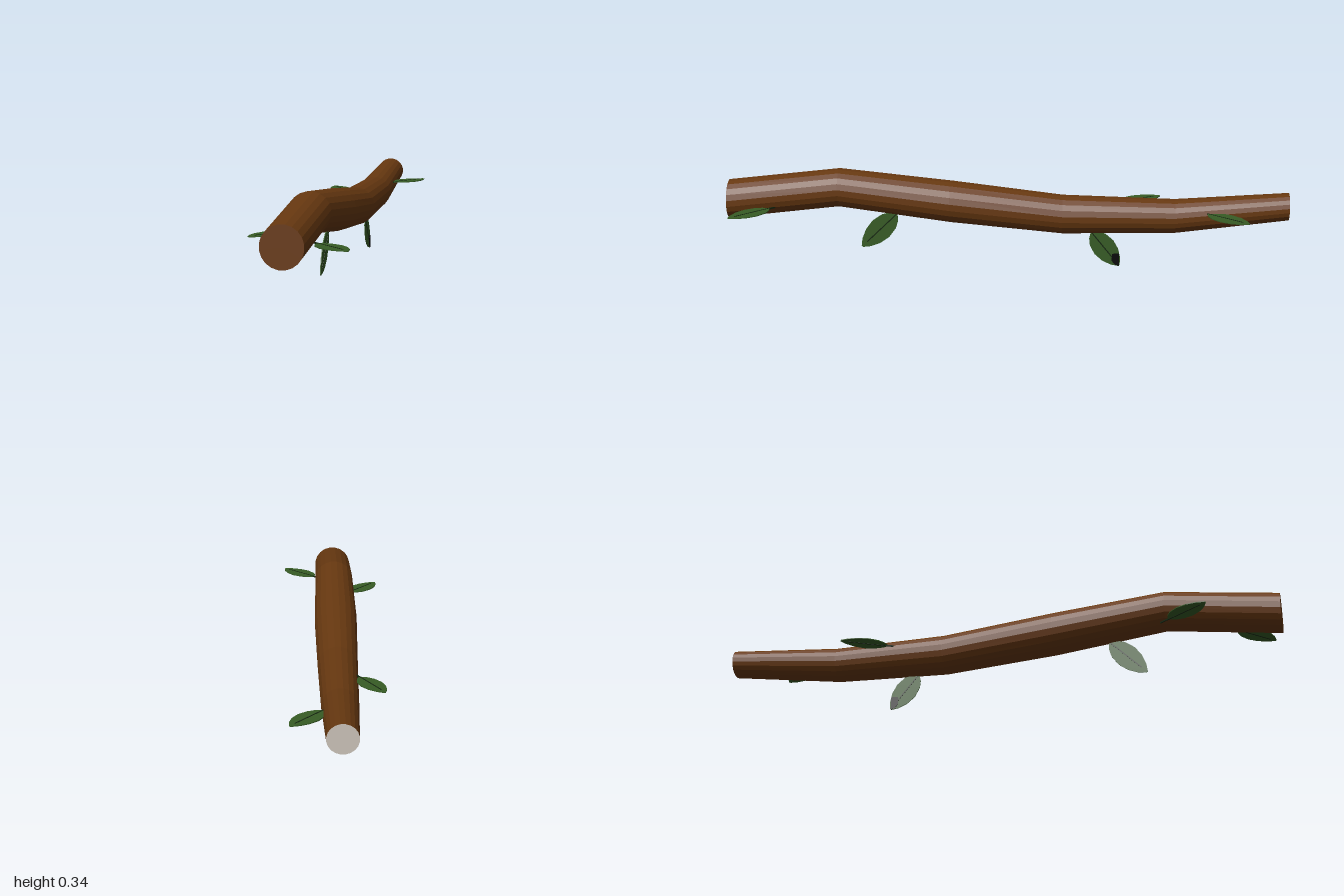
import * as THREE from 'three';

const mat = (name, color) => {
  const m = new THREE.MeshStandardMaterial({ color });
  m.name = name;
  return m;
};

// Half outline of a leaf: [fraction of length, fraction of half width]
const OUTLINE = [[0, 0.12], [0.08, 0.5], [0.22, 0.83], [0.45, 1], [0.68, 0.85], [0.87, 0.5], [1, 0.08]];

function plate(points, thickness) {
  const shape = new THREE.Shape(points.map(([x, y]) => new THREE.Vector2(x, y)));
  const geo = new THREE.ExtrudeGeometry(shape, { depth: thickness, bevelEnabled: false });
  return geo.translate(0, 0, -thickness / 2);
}

export function createModel() {
  const bark = mat('bark brown', 0x673810);
  const cutWood = mat('pale cut wood', 0xccc4ba);
  const green = mat('leaf green', 0x375c25);
  const veinGreen = mat('dark vein green', 0x14260f);
  const black = mat('withered black', 0x050705);
  bark.flatShading = true;

  const model = new THREE.Group();
  model.name = 'leafyBranch';
  const add = (parent, name, geo, material) => {
    const mesh = new THREE.Mesh(geo, material);
    mesh.name = name;
    parent.add(mesh);
    return mesh;
  };

  // Branch: rings along z as [z, centre y, x radius, y radius]
  const rings = [
    [-1, 0.232, 0.051, 0.049], [-0.6, 0.19, 0.062, 0.061], [-0.2, 0.19, 0.07, 0.07],
    [0.2, 0.231, 0.078, 0.075], [0.6, 0.277, 0.072, 0.069], [1, 0.228, 0.07, 0.07],
  ];
  const SIDES = 20, CENTRE_X = -0.015;
  const ringPoint = ([z, y, rx, ry], i) => {
    const a = ((i + 0.5) / SIDES) * Math.PI * 2;
    return [CENTRE_X + Math.cos(a) * rx, y + Math.sin(a) * ry, z];
  };
  const fromTriangles = (pos) => {
    const geo = new THREE.BufferGeometry();
    geo.setAttribute('position', new THREE.Float32BufferAttribute(pos, 3));
    geo.computeVertexNormals();
    return geo;
  };
  const side = [], front = [], back = [];
  const first = rings[0], last = rings[rings.length - 1];
  for (let i = 0; i < SIDES; i++) {
    for (let r = 0; r < rings.length - 1; r++) {
      const a = ringPoint(rings[r], i), b = ringPoint(rings[r], i + 1);
      const c = ringPoint(rings[r + 1], i + 1), d = ringPoint(rings[r + 1], i);
      side.push(...a, ...b, ...c, ...a, ...c, ...d);
    }
    front.push(CENTRE_X, last[1], last[0], ...ringPoint(last, i), ...ringPoint(last, i + 1));
    back.push(CENTRE_X, first[1], first[0], ...ringPoint(first, i + 1), ...ringPoint(first, i));
  }
  add(model, 'branch', fromTriangles(side), bark);
  add(model, 'frontEnd', fromTriangles(front), bark);
  add(model, 'backCutEnd', fromTriangles(back), cutWood);

  // Leaf: a thin blade from base to tip, with a midrib that runs back into the branch
  function addLeaf(name, base, tip, normal, width) {
    const b = new THREE.Vector3(...base);
    const dir = new THREE.Vector3(...tip).sub(b);
    const length = dir.length();
    dir.normalize();
    const n = new THREE.Vector3(...normal);
    const leaf = new THREE.Group();
    leaf.name = name;
    leaf.quaternion.setFromRotationMatrix(
      new THREE.Matrix4().makeBasis(dir.clone().cross(n), dir, n));
    leaf.position.copy(b);
    const right = OUTLINE.map(([t, w]) => [w * width / 2, t * length]);
    const left = right.map(([x, y]) => [-x, y]).reverse();
    add(leaf, 'blade', plate([...right, ...left], 0.003), green);
    const rib = new THREE.BoxGeometry(0.004, length * 0.85 + 0.04, 0.005);
    add(leaf, 'midrib', rib.translate(0, length * 0.425 - 0.02, 0), veinGreen);
    model.add(leaf);
    return leaf;
  }
  const UP = [0, 1, 0], SIDEWAYS = [1, 0, 0], Y = 0.217;
  addLeaf('leftBackLeaf', [0.042, Y, -0.715], [0.145, Y, -0.85], UP, 0.085);
  addLeaf('rightBackLeaf', [-0.085, Y, -0.4], [-0.162, Y, -0.55], UP, 0.08);
  addLeaf('rightFrontLeaf', [-0.078, Y, 0.615], [-0.18, Y, 0.752], UP, 0.085);
  addLeaf('leftFrontLeaf', [0.064, Y, 0.845], [0.179, Y, 0.966], UP, 0.085);
  addLeaf('lowerFrontLeaf', [0.003, 0.185, 0.395], [0.003, 0.06, 0.522], SIDEWAYS, 0.085);
  addLeaf('lowerBackLeaf', [0.001, 0.128, -0.305], [0.001, 0.004, -0.405], SIDEWAYS, 0.085);

  // Withered patch at the tip of the lower back leaf
  const patch = plate([[0.405, 0.05], [0.38, 0.048], [0.378, 0.022], [0.39, 0.007], [0.405, 0.003]], 0.006);
  patch.rotateY(Math.PI / 2).translate(0.001, 0, 0);
  add(model, 'witheredTip', patch, black);
  return model;
}
